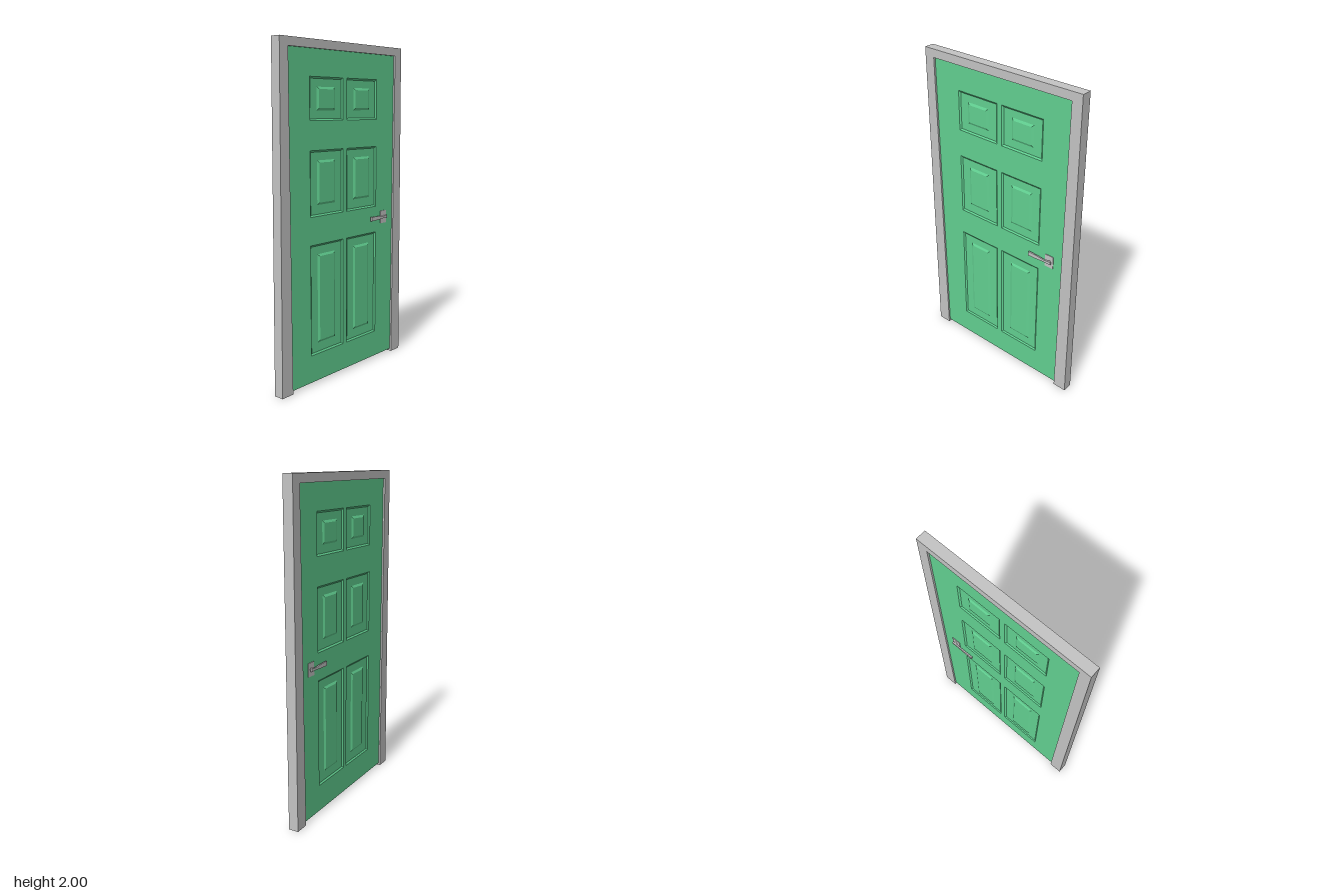
import * as THREE from 'three';

const paint = new THREE.MeshStandardMaterial({ color: 0x62d091, name: 'green paint' });
const grey = new THREE.MeshStandardMaterial({ color: 0xc4c4c4, name: 'light grey' });

const FACE = 0.02; // half thickness of the leaf
const SINK = 0.007; // depth of the panel recess

const outline = (pts) => new THREE.Shape(pts.map(([x, y]) => new THREE.Vector2(x, y)));
const rect = (x0, x1, y0, y1) => [[x0, y0], [x1, y0], [x1, y1], [x0, y1]];
const inset = ([x0, x1, y0, y1], d) => [x0 + d, x1 - d, y0 + d, y1 - d];

// Flat outline given thickness between two depths
function slab(shape, z0, z1) {
  const g = new THREE.ExtrudeGeometry(shape, { depth: z1 - z0, bevelEnabled: false });
  return g.translate(0, 0, z0);
}

// Panel: nested rectangles at different depths, joined by bands, closed by a field
function panelGeometry(outer, field) {
  const rings = [
    [outer, FACE], [inset(outer, 0.01), FACE - SINK],
    [field, FACE - SINK], [inset(field, 0.013), FACE - 0.0005],
  ].map(([r, z]) => rect(...r).map(([x, y]) => [x, y, z]));
  const pos = [];
  const quad = (a, b, c, d) => pos.push(...a, ...b, ...c, ...a, ...c, ...d);
  for (let i = 0; i < rings.length - 1; i++) {
    for (let j = 0; j < 4; j++) {
      const k = (j + 1) % 4;
      quad(rings[i][j], rings[i][k], rings[i + 1][k], rings[i + 1][j]);
    }
  }
  quad(...rings[3]);
  const g = new THREE.BufferGeometry();
  g.setAttribute('position', new THREE.Float32BufferAttribute(pos, 3));
  g.computeVertexNormals();
  return g;
}

export function createModel() {
  const model = new THREE.Group();
  model.name = 'panelledDoor';

  // The door is drawn in the XY plane and turned to face sideways
  const door = new THREE.Group();
  door.name = 'door';
  door.rotation.y = Math.PI / 2;
  model.add(door);

  const add = (name, geometry, material, parent = door) => {
    const mesh = new THREE.Mesh(geometry, material);
    mesh.name = name;
    parent.add(mesh);
    return mesh;
  };

  // Frame: one lintel and two posts that widen slightly towards the floor
  const frame = outline([
    [-0.554, 0], [-0.469, 0], [-0.479, 1.95], [0.479, 1.95],
    [0.469, 0], [0.554, 0], [0.543, 2], [-0.543, 2],
  ]);
  add('frame', slab(frame, -0.031, 0.031), grey);

  // Leaf with six openings
  const leaf = outline(rect(-0.478, 0.478, 0.015, 1.951));
  const panels = [];
  for (const [y0, y1, f0, f1] of [
    [0.18, 0.84, 0.245, 0.78], [1.005, 1.385, 1.07, 1.327], [1.553, 1.797, 1.61, 1.742],
  ]) {
    panels.push([[-0.303, -0.017, y0, y1], [-0.238, -0.086, f0, f1]]);
    panels.push([[0.017, 0.303, y0, y1], [0.086, 0.238, f0, f1]]);
  }
  for (const [outer] of panels) leaf.holes.push(new THREE.Path(outline(rect(...outer)).getPoints()));
  add('leaf', slab(leaf, -FACE, FACE), paint);

  // Recessed panels on both faces
  for (const turn of [0, Math.PI]) {
    const side = new THREE.Group();
    side.name = turn ? 'backPanels' : 'frontPanels';
    side.rotation.y = turn;
    door.add(side);
    for (const [outer, field] of panels) add('panel', panelGeometry(outer, field), paint, side);
  }

  // Lever handles on both faces, both near the same edge
  const lever = outline([
    [0.24, 0.917], [0.31, 0.919], [0.355, 0.923], [0.4, 0.921],
    [0.4, 0.94], [0.355, 0.936], [0.31, 0.941], [0.24, 0.944],
  ]);
  const plate = outline(rect(0.352, 0.41, 0.889, 0.97));
  for (const s of [1, -1]) {
    const span = (shape, a, b) => slab(shape, Math.min(s * a, s * b), Math.max(s * a, s * b));
    const handle = new THREE.Group();
    handle.name = 'handle';
    door.add(handle);
    add('handlePlate', span(plate, FACE - 0.002, 0.024), grey, handle);
    add('handleLever', span(lever, 0.03, 0.039), grey, handle);
    const stem = new THREE.CylinderGeometry(0.009, 0.009, 0.012, 12).rotateX(Math.PI / 2);
    add('handleStem', stem.translate(0.385, 0.9305, s * 0.027), grey, handle);
  }

  return model;
}
